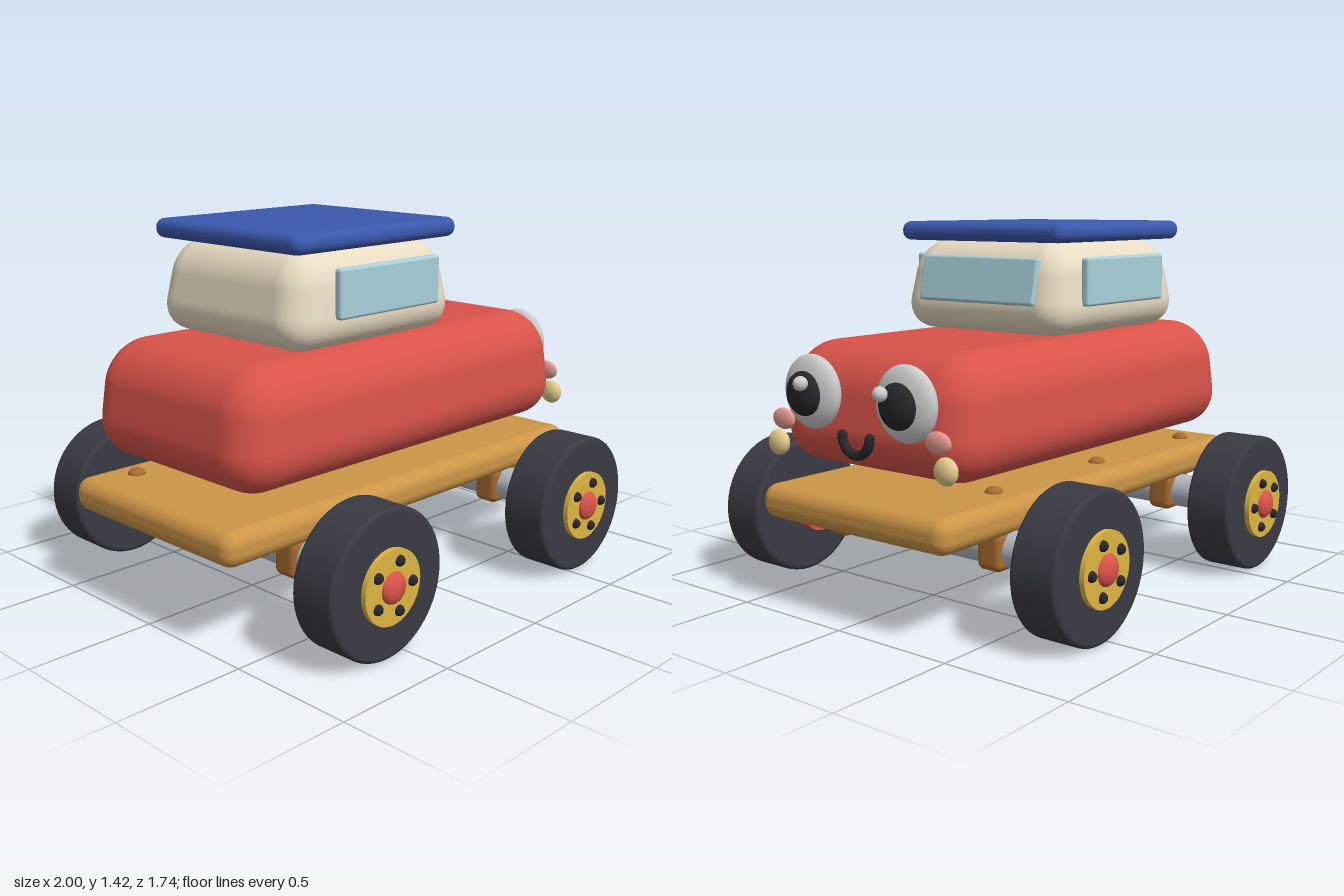
import * as THREE from 'three';
import { RoundedBoxGeometry } from 'three/addons/geometries/RoundedBoxGeometry.js';
import { mergeVertices } from 'three/addons/utils/BufferGeometryUtils.js';

const paint = (color) => new THREE.MeshStandardMaterial({ color });
const M = {
  red: paint(0xd9534a), wood: paint(0xcc9547), peg: paint(0xa86c30), tyre: paint(0x3a3a44),
  yellow: paint(0xdcb540), blue: paint(0x3b58ad), cream: paint(0xe8dbc2), glass: paint(0xa8d0da),
  grey: paint(0xcccccc), steel: paint(0xb4b9c2), dark: paint(0x26262b), pink: paint(0xe59a92),
  lamp: paint(0xe3cb8c), green: paint(0x2f6b35),
};

function add(parent, name, geometry, material, x = 0, y = 0, z = 0) {
  const mesh = new THREE.Mesh(geometry, material);
  mesh.name = name;
  mesh.position.set(x, y, z);
  parent.add(mesh);
  return mesh;
}

const rounded = (w, h, d, r, seg = 4) => new RoundedBoxGeometry(w, h, d, seg, r);

// Rounded box whose sides lean in by insetX and insetZ towards the top
function taperedBox(w, h, d, r, insetX, insetZ) {
  let g = rounded(w, h, d, r, 8);
  g.deleteAttribute('normal');
  g.deleteAttribute('uv');
  const p = g.attributes.position;
  for (let i = 0; i < p.count; i++) {
    const t = p.getY(i) / h + 0.5;
    p.setX(i, p.getX(i) * (1 - (t * insetX) / (w / 2)));
    p.setZ(i, p.getZ(i) * (1 - (t * insetZ) / (d / 2)));
  }
  g = mergeVertices(g, 1e-4);
  g.computeVertexNormals();
  return g;
}

// Cylinder lying along z
const rod = (r, length, sides = 32) => new THREE.CylinderGeometry(r, r, length, sides).rotateX(Math.PI / 2);

function ellipsoid(parent, name, material, pos, size) {
  const mesh = add(parent, name, new THREE.SphereGeometry(1, 32, 20), material, ...pos);
  mesh.scale.set(...size);
  return mesh;
}

// Wheel centred on its own origin, outer face towards +z
function makeWheel() {
  const wheel = new THREE.Group();
  wheel.name = 'wheel';
  const R = 0.275, h = 0.095, b = 0.018;
  const profile = [[0, -h], [R - b, -h]];
  for (let i = 0; i <= 4; i++) {
    const a = (i / 4) * Math.PI / 2;
    profile.push([R - b + b * Math.sin(a), -h + b - b * Math.cos(a)]);
  }
  for (let i = 0; i <= 4; i++) {
    const a = (i / 4) * Math.PI / 2;
    profile.push([R - b + b * Math.cos(a), h - b + b * Math.sin(a)]);
  }
  profile.push([0, h]);
  const points = profile.map(([x, y]) => new THREE.Vector2(x, y));
  add(wheel, 'tyre', new THREE.LatheGeometry(points, 56).rotateX(Math.PI / 2), M.tyre);
  add(wheel, 'hubDisc', rod(0.137, 0.04, 40), M.yellow, 0, 0, 0.095);
  ellipsoid(wheel, 'hubCap', M.red, [0, 0, 0.112], [0.058, 0.058, 0.032]);
  for (let i = 0; i < 5; i++) {
    const a = (i / 5) * Math.PI * 2;
    ellipsoid(wheel, 'hubBolt', M.dark, [0.095 * Math.cos(a), 0.095 * Math.sin(a), 0.115], [0.02, 0.02, 0.02]);
  }
  return wheel;
}

function makeAxle(x) {
  const axle = new THREE.Group();
  axle.name = 'axleAssembly';
  axle.position.set(x, 0.277, 0);
  add(axle, 'axle', rod(0.069, 1.28), M.steel);
  for (const s of [1, -1]) {
    add(axle, 'axleCollar', rod(0.097, 0.053), M.red, 0, 0, s * 0.58);
    add(axle, 'axleBracket', rounded(0.17, 0.15, 0.113, 0.03), M.peg, 0, 0, s * 0.385);
    const wheel = makeWheel();
    wheel.position.z = s * 0.725;
    if (s < 0) wheel.scale.z = -1;
    axle.add(wheel);
  }
  return axle;
}

function makeFace() {
  const face = new THREE.Group();
  face.name = 'face';
  for (const s of [1, -1]) {
    ellipsoid(face, 'eyeball', M.grey, [0.88, 0.823, s * 0.232], [0.052, 0.137, 0.137]);
    ellipsoid(face, 'pupil', M.dark, [0.925, 0.82, s * 0.232], [0.04, 0.082, 0.082]);
    ellipsoid(face, 'eyeGlint', M.grey, [0.972, 0.865, s * 0.196], [0.027, 0.027, 0.027]);
    ellipsoid(face, 'cheek', M.pink, [0.89, 0.708, s * 0.382], [0.02, 0.04, 0.057]);
    ellipsoid(face, 'headlamp', M.lamp, [0.888, 0.615, s * 0.415], [0.03, 0.049, 0.049]);
  }
  // Half-ring smile with rounded ends
  const smile = new THREE.TorusGeometry(0.068, 0.018, 12, 28, Math.PI).rotateZ(Math.PI).rotateY(Math.PI / 2);
  add(face, 'smile', smile, M.dark, 0.896, 0.685, 0);
  for (const s of [1, -1]) ellipsoid(face, 'smileEnd', M.dark, [0.896, 0.685, s * 0.068], [0.018, 0.018, 0.018]);
  return face;
}

export function createModel() {
  const model = new THREE.Group();
  model.name = 'toyCar';

  // Chassis
  add(model, 'deck', rounded(1.955, 0.132, 0.92, 0.055, 6), M.wood, -0.022, 0.395, 0);
  for (const x of [-0.8, -0.14, 0.52]) {
    ellipsoid(model, 'deckPeg', M.peg, [x, 0.462, -0.32], [0.034, 0.022, 0.034]);
  }
  for (const x of [-0.6, 0.555]) model.add(makeAxle(x));

  // Machinery showing between deck and body
  add(model, 'motor', new THREE.CylinderGeometry(0.15, 0.15, 0.36, 32).rotateZ(Math.PI / 2), M.green, -0.37, 0.615, 0);
  add(model, 'motorBand', new THREE.CylinderGeometry(0.156, 0.156, 0.02, 32).rotateZ(Math.PI / 2), M.green, -0.31, 0.615, 0);
  add(model, 'batteryCap', rounded(0.12, 0.13, 0.31, 0.045), M.dark, 0.075, 0.537, 0);
  add(model, 'battery', rounded(0.46, 0.12, 0.29, 0.045), M.yellow, 0.31, 0.54, 0);

  // Body and cabin
  add(model, 'body', taperedBox(1.82, 0.457, 0.984, 0.17, 0.055, 0.035), M.red, -0.025, 0.764, 0);
  add(model, 'cabin', taperedBox(0.9, 0.36, 0.855, 0.13, 0.06, 0.06), M.cream, -0.192, 1.175, 0);
  add(model, 'roof', rounded(0.855, 0.075, 0.805, 0.035), M.blue, -0.193, 1.388, 0);
  for (const s of [1, -1]) {
    add(model, 'sideWindow', rounded(0.533, 0.184, 0.036, 0.012), M.glass, -0.172, 1.203, s * 0.415);
  }
  const windshield = add(model, 'windshield', rounded(0.036, 0.182, 0.575, 0.012), M.glass, 0.218, 1.203, 0);
  windshield.rotation.z = 0.18;

  model.add(makeFace());
  return model;
}
